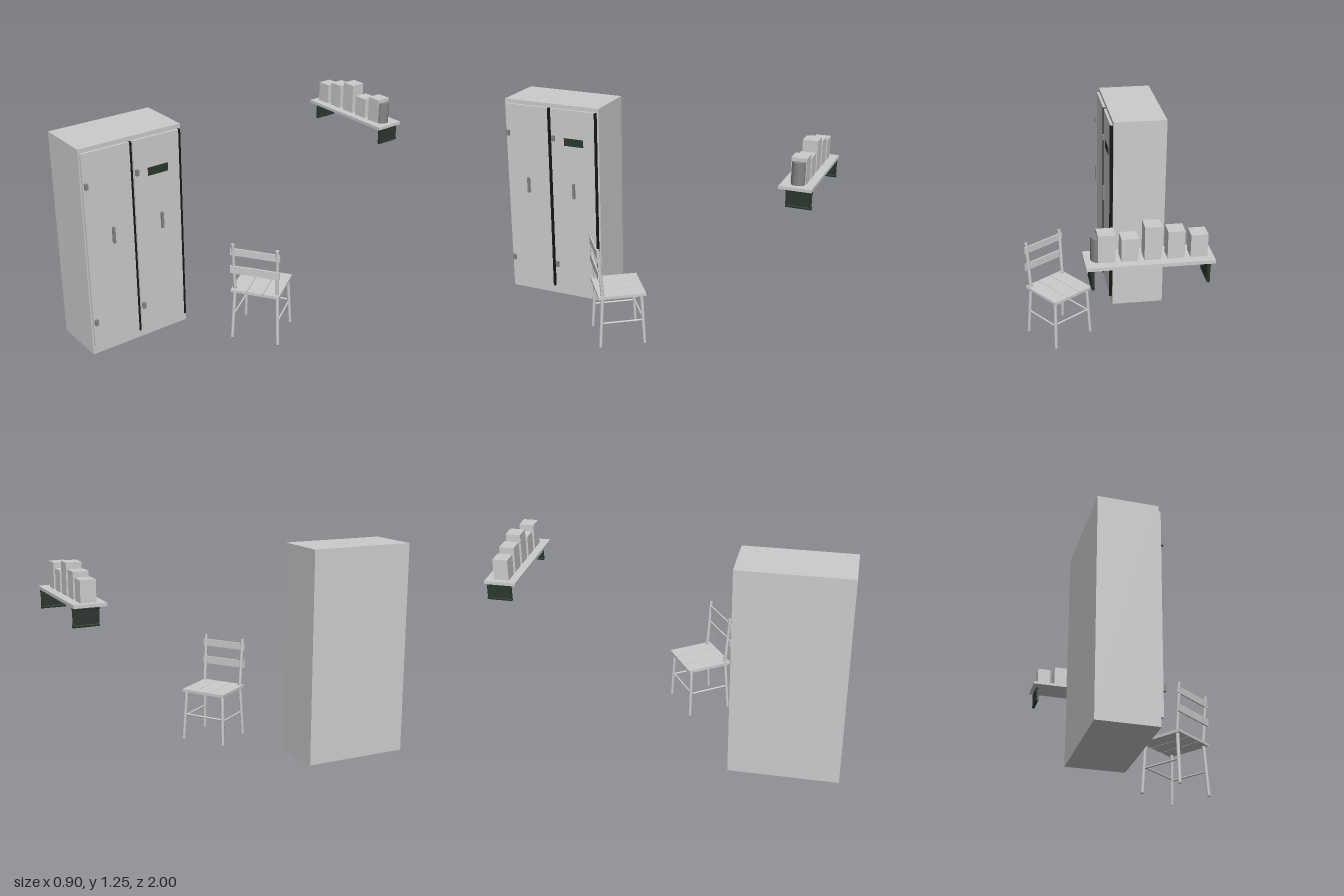
import * as THREE from 'three';

const material = (name, color) => {
  const m = new THREE.MeshStandardMaterial({ color });
  m.name = name;
  return m;
};

export function createModel() {
  const paleGrey = material('paleGrey', 0xcccccc);
  const midGrey = material('midGrey', 0x858784);
  const darkGreen = material('darkGreen', 0x2d362f);
  const black = material('black', 0x161816);

  const model = new THREE.Group();
  model.name = 'lockerShelfAndChair';

  const group = (name) => {
    const g = new THREE.Group();
    g.name = name;
    model.add(g);
    return g;
  };
  const add = (parent, name, geometry, mat) => {
    const mesh = new THREE.Mesh(geometry, mat);
    mesh.name = name;
    parent.add(mesh);
    return mesh;
  };
  // Box given by its extents on each axis
  const box = (parent, name, mat, [x0, x1], [y0, y1], [z0, z1]) => {
    const mesh = add(parent, name, new THREE.BoxGeometry(x1 - x0, y1 - y0, z1 - z0), mat);
    mesh.position.set((x0 + x1) / 2, (y0 + y1) / 2, (z0 + z1) / 2);
    return mesh;
  };
  // Round rod between two points
  const rod = (parent, name, mat, from, to, r0, r1 = r0) => {
    const a = new THREE.Vector3(...from), b = new THREE.Vector3(...to);
    const dir = b.clone().sub(a);
    const mesh = add(parent, name, new THREE.CylinderGeometry(r1, r0, dir.length(), 12), mat);
    mesh.position.copy(a).add(b).multiplyScalar(0.5);
    mesh.quaternion.setFromUnitVectors(new THREE.Vector3(0, 1, 0), dir.normalize());
    return mesh;
  };

  // Locker with two tall doors on its +x side
  const locker = group('locker');
  box(locker, 'lockerBody', paleGrey, [-0.45, -0.125], [0, 1.25], [0.37, 1]);
  for (const z of [0.382, 0.692]) {
    box(locker, 'door', paleGrey, [-0.125, -0.11], [0.055, 1.225], [z + 0.01, z + 0.3]);
    box(locker, 'doorEdgeStrip', black, [-0.125, -0.105], [0.055, 1.225], [z, z + 0.01]);
    box(locker, 'doorHandle', midGrey, [-0.094, -0.081], [0.678, 0.774], [z + 0.14, z + 0.155]);
    for (const y of [0.196, 1.025])
      box(locker, 'hinge', midGrey, [-0.112, -0.094], [y, y + 0.034], [z + 0.276, z + 0.294]);
  }
  box(locker, 'doorPlate', darkGreen, [-0.111, -0.107], [1.003, 1.05], [0.468, 0.596]);

  // Wall shelf on two brackets
  const shelf = group('shelf');
  box(shelf, 'shelfBoard', paleGrey, [-0.42, 0.21], [1.033, 1.051], [-1, -0.823]);
  for (const x of [-0.388, 0.178]) {
    box(shelf, 'bracketPlate', darkGreen, [x - 0.007, x + 0.007], [0.93, 1.033], [-0.99, -0.858]);
    rod(shelf, 'bracketTopRod', darkGreen, [x, 1.024, -0.998], [x, 1.024, -0.853], 0.009);
    rod(shelf, 'bracketBackRod', darkGreen, [x, 0.937, -0.989], [x, 1.033, -0.989], 0.009);
    rod(shelf, 'bracketBottomRod', darkGreen, [x, 0.937, -0.998], [x, 0.937, -0.858], 0.009);
  }

  // Row of boxes and a can standing on the shelf
  const heights = [0.118, 0.144, 0.175];
  for (let i = 0; i < 5; i++) {
    const x = -0.346 + i * 0.113;
    box(shelf, 'storageBox', paleGrey, [x - 0.042, x + 0.042],
      [1.051, 1.051 + heights[i % 3]], [-0.953, -0.869]);
  }
  rod(shelf, 'can', midGrey, [0.14, 1.051, -0.911], [0.14, 1.175, -0.911], 0.04);

  // Chair, built with its back towards local +z, then turned
  const chair = group('chair');
  for (let i = -1; i <= 1; i++) {
    const x = i * 0.096;
    box(chair, 'seatPlank', paleGrey, [x - 0.0465, x + 0.0465], [0.311, 0.328], [-0.137, 0.137]);
  }
  for (const s of [-1, 1]) {
    rod(chair, 'frontLeg', paleGrey, [s * 0.138, 0.01, -0.129], [s * 0.124, 0.315, -0.113], 0.0095, 0.0105);
    rod(chair, 'backLeg', paleGrey, [s * 0.137, 0.01, 0.13], [s * 0.125, 0.315, 0.112], 0.0095, 0.0105);
    rod(chair, 'backPost', paleGrey, [s * 0.125, 0.315, 0.11], [s * 0.129, 0.618, 0.136], 0.0105, 0.0095);
    rod(chair, 'sideStretcher', paleGrey, [s * 0.131, 0.157, -0.121], [s * 0.131, 0.157, 0.121], 0.0055);
  }
  rod(chair, 'frontStretcher', paleGrey, [-0.131, 0.166, -0.121], [0.131, 0.166, -0.121], 0.0055);
  for (const [y0, y1] of [[0.435, 0.481], [0.549, 0.592]])
    box(chair, 'backSlat', paleGrey, [-0.145, 0.145], [y0, y1], [0.129, 0.138]);
  chair.rotation.y = 0.612;
  chair.position.set(0.248, 0, 0.086);

  return model;
}
